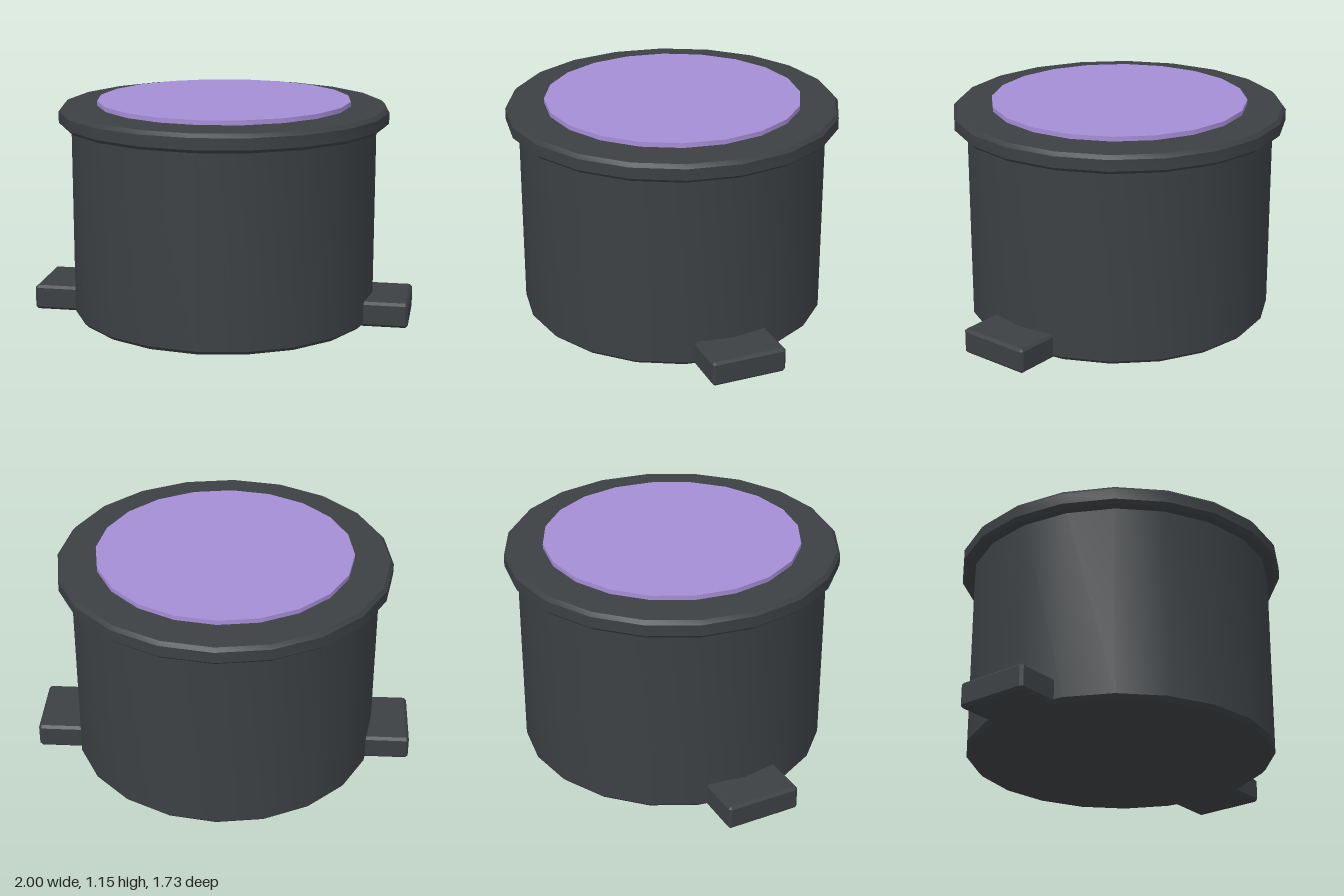
import * as THREE from 'three';
import { toCreasedNormals } from 'three/addons/utils/BufferGeometryUtils.js';
import { ConvexGeometry } from 'three/addons/geometries/ConvexGeometry.js';

const SIDES = 20;
const dark = new THREE.MeshStandardMaterial({ color: 0x3c4043 });
const purple = new THREE.MeshStandardMaterial({ color: 0xa58ed6 });

// Closed 20-sided solid of revolution, smooth around, sharp at profile corners
function turned(name, profile, material) {
  const points = profile.map(([r, y]) => new THREE.Vector2(r, y));
  const mesh = new THREE.Mesh(toCreasedNormals(new THREE.LatheGeometry(points, SIDES), 0.5), material);
  mesh.name = name;
  return mesh;
}

// Box with every edge chamfered by c
function chamferedBox(w, h, d, c) {
  const points = [];
  for (const x of [-1, 1]) for (const y of [-1, 1]) for (const z of [-1, 1]) {
    for (let axis = 0; axis < 3; axis++) {
      const inset = [0, 1, 2].map((i) => (i === axis ? 0 : c));
      points.push(new THREE.Vector3(
        x * (w / 2 - inset[0]), y * (h / 2 - inset[1]), z * (d / 2 - inset[2])));
    }
  }
  return new ConvexGeometry(points);
}

export function createModel() {
  const model = new THREE.Group();
  model.name = 'roundButtonHousing';

  // Main drum with a small chamfer at the foot
  model.add(turned('body', [[0, 0], [0.78, 0], [0.8, 0.02], [0.8, 1.04], [0, 1.04]], dark));

  // Overhanging rim, chamfered above and below
  model.add(turned('rim', [
    [0, 1.022], [0.845, 1.022], [0.865, 1.04], [0.865, 1.098], [0.848, 1.117], [0, 1.117],
  ], dark));

  // Thin disc sitting just clear of the rim
  model.add(turned('topDisc', [[0, 1.124], [0.665, 1.124], [0.665, 1.148], [0, 1.148]], purple));

  // Mounting tabs on both sides
  const tabGeometry = chamferedBox(0.28, 0.132, 0.396, 0.014);
  for (const side of [-1, 1]) {
    const tab = new THREE.Mesh(tabGeometry, dark);
    tab.name = side > 0 ? 'leftTab' : 'rightTab';
    tab.position.set(side * 0.86, 0.066, 0);
    model.add(tab);
  }

  return model;
}
